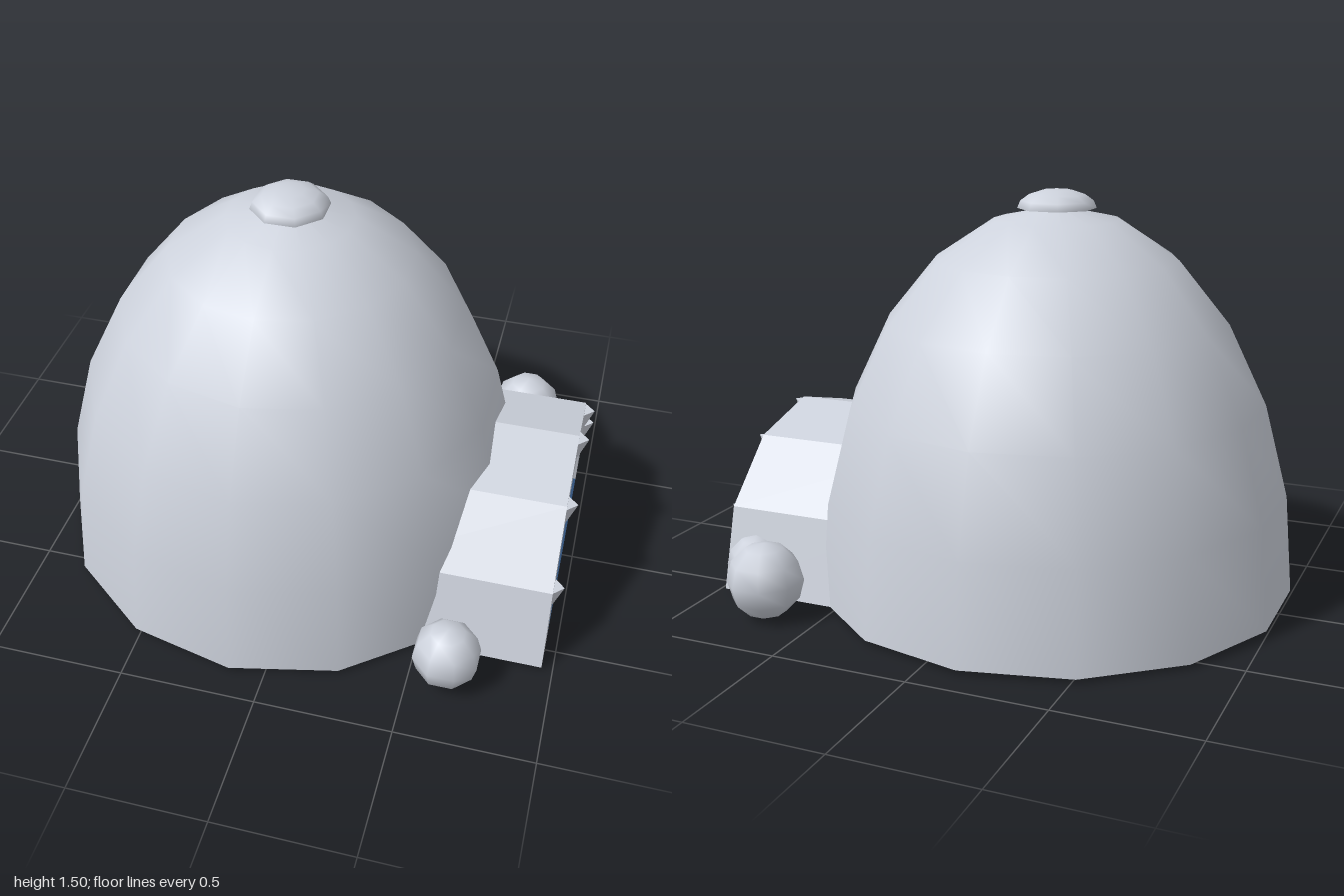
import * as THREE from 'three';

export function createModel() {
  const model = new THREE.Group();
  model.name = 'igloo';

  const snow = new THREE.MeshStandardMaterial({ name: 'snow', color: 0xcdd2dc });
  const snowFacets = new THREE.MeshStandardMaterial({ name: 'snow facets', color: 0xcdd2dc, flatShading: true });
  const blue = new THREE.MeshStandardMaterial({ name: 'deep blue', color: 0x305079 });

  const add = (name, geometry, material, x = 0, y = 0, z = 0) => {
    const mesh = new THREE.Mesh(geometry, material);
    mesh.name = name;
    mesh.position.set(x, y, z);
    model.add(mesh);
    return mesh;
  };

  const domeX = -0.13, ground = 0.02;

  // Dome: half ellipsoid with 14 sides
  const profile = [];
  for (let i = 0; i <= 6; i++) {
    const a = (i * Math.PI) / 12;
    profile.push(new THREE.Vector2(i === 6 ? 0 : 0.89 * Math.cos(a), 1.42 * Math.sin(a)));
  }
  add('dome', new THREE.LatheGeometry(profile, 14), snow, domeX, ground);
  add('domeBase', new THREE.CircleGeometry(0.89, 14, Math.PI / 2).rotateX(Math.PI / 2), snow, domeX, ground);

  // Rounded cap on the top, with a flat underside
  const cap = new THREE.SphereGeometry(0.143, 8, 4, 0, Math.PI * 2, 0, Math.PI / 2);
  cap.rotateY(Math.PI / 8).scale(1, 0.49, 1);
  add('cap', cap, snow, domeX, 1.43);
  const capBase = new THREE.CircleGeometry(0.143, 8, Math.PI / 8).rotateX(Math.PI / 2);
  add('capBase', capBase, snow, domeX, 1.43);

  // Entrance tunnel: six-sided half ring running along x
  const arc = (r) => Array.from({ length: 7 }, (_, i) =>
    new THREE.Vector2(r * Math.cos((i * Math.PI) / 6), r * Math.sin((i * Math.PI) / 6)));
  const extrudeAlongX = (points, depth) =>
    new THREE.ExtrudeGeometry(new THREE.Shape(points), { depth, bevelEnabled: false }).rotateY(Math.PI / 2);
  const tunnelStart = 0.3, tunnelEnd = 0.96;
  add('tunnel', extrudeAlongX([...arc(0.6), ...arc(0.43).reverse()], tunnelEnd - tunnelStart),
    snow, tunnelStart, ground + 0.001);

  // Recessed door and the floor in front of it
  add('door', extrudeAlongX(arc(0.43), 0.008), blue, 0.845, ground + 0.001);
  add('floor', new THREE.BoxGeometry(tunnelEnd - tunnelStart, 0.009, 0.86), blue,
    (tunnelStart + tunnelEnd) / 2, ground + 0.0055);

  // Icicles hanging around the arch
  const icicle = new THREE.ConeGeometry(0.037, 0.1, 4).rotateX(Math.PI);
  for (const [z, y] of [[0, 0.56], [0.27, 0.48], [-0.27, 0.48], [0.47, 0.26], [-0.47, 0.26]]) {
    add('icicle', icicle, snowFacets, tunnelEnd, y, z);
  }

  // Snowballs beside the tunnel
  for (const [r, x, y, z] of [
    [0.125, 0.63, 0.135, 0.72],
    [0.139, 0.70, 0.144, -0.722],
    [0.112, 0.85, 0.118, -0.545],
  ]) {
    add('snowball', new THREE.SphereGeometry(r, 8, 6).rotateY(Math.PI / 8), snow, x, y, z);
  }

  return model;
}
